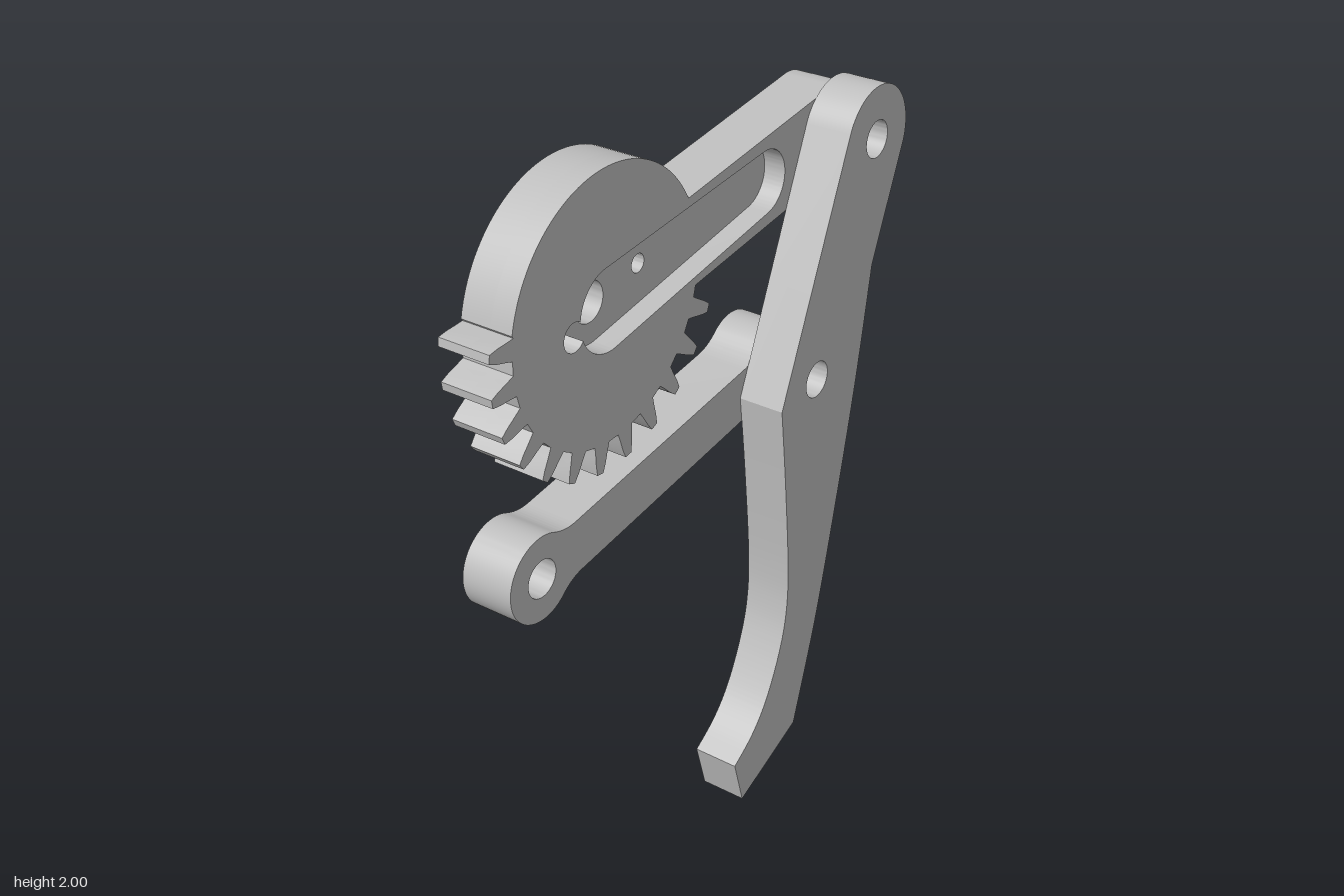
import * as THREE from 'three';
import { toCreasedNormals } from 'three/addons/utils/BufferGeometryUtils.js';

const BACK = -0.106, FLOOR = -0.023, MID = 0.037, FRONT = 0.165; // layer planes along x
const rad = THREE.MathUtils.degToRad;
const steel = new THREE.MeshStandardMaterial({ color: 0xbfbfbf });
steel.name = 'steel grey';

// Profiles are drawn as (-z, y) and extruded along x.
function plate(name, shape, x0, x1) {
  const geo = new THREE.ExtrudeGeometry(shape, { depth: x1 - x0, bevelEnabled: false, curveSegments: 24 });
  const mesh = new THREE.Mesh(toCreasedNormals(geo, 0.45), steel);
  mesh.name = name;
  mesh.rotation.y = Math.PI / 2;
  mesh.position.x = x0;
  return mesh;
}

function hole(c, r) {
  return new THREE.Path().absarc(c.x, c.y, r, 0, Math.PI * 2, true);
}

const hub = new THREE.Vector2(-0.335, 1.655);
const topPivot = new THREE.Vector2(0.607, 1.74);
const midPivot = new THREE.Vector2(0.335, 1.173);
const lowPivot = new THREE.Vector2(-0.638, 1.085);

// Point at distance d along the axis from a to b, offset sideways by s.
function along(a, b, d, s = 0) {
  const t = b.clone().sub(a).normalize();
  return new THREE.Vector2(a.x + t.x * d - t.y * s, a.y + t.y * d + t.x * s);
}

// Sector gear joined to the upper link arm
function gearOutline() {
  const R = 0.345, root = 0.34, w = 0.119;
  const phi = topPivot.clone().sub(hub).angle(), cut = Math.asin(w / R);
  const s = new THREE.Shape();
  s.absarc(hub.x, hub.y, R, phi + cut, rad(165), false);
  const tooth = [[-4.6, root], [-3.6, 0.362], [-2.6, 0.392], [-1.5, 0.416], [1.5, 0.416], [2.6, 0.392], [3.6, 0.362], [4.6, root]];
  for (let i = 0; i < 12; i++) {
    for (const [da, r] of tooth) {
      const a = rad(170.4 + 15 * i + da);
      s.lineTo(hub.x + r * Math.cos(a), hub.y + r * Math.sin(a));
    }
  }
  s.absarc(hub.x, hub.y, root, rad(341), phi - cut + Math.PI * 2, false);
  s.absarc(topPivot.x, topPivot.y, w, phi - Math.PI / 2, phi + Math.PI / 2, false);
  s.closePath();
  s.holes.push(hole(topPivot, 0.05));
  return s;
}

// Keyed slot sunk into the inner face of the gear arm
function pocket() {
  const phi = topPivot.clone().sub(hub).angle();
  const end = along(hub, topPivot, 0.633), key = along(hub, topPivot, -0.13);
  const p = new THREE.Path();
  p.absarc(hub.x, hub.y, 0.106, phi + rad(88), phi + rad(166.4), false);
  p.absarc(key.x, key.y, 0.037, phi + rad(43), phi + rad(317), false);
  p.absarc(hub.x, hub.y, 0.106, phi + rad(193.6), phi + rad(272), false);
  p.absarc(end.x, end.y, 0.085, phi + rad(-88), phi + rad(88), false);
  p.closePath();
  return p;
}

// Bar with a round eye at each end
function lowerLinkShape() {
  const r = 0.114, half = 0.072, a = rad(55);
  const phi = midPivot.clone().sub(lowPivot).angle();
  const s = new THREE.Shape();
  const ends = [[lowPivot, midPivot, phi], [midPivot, lowPivot, phi + Math.PI]];
  for (const [c, o, dir] of ends) {
    const start = along(c, o, 0.14, half), sc = along(c, o, 0.1, half);
    const stop = along(c, o, 0.14, -half), ec = along(c, o, 0.1, -half);
    if (c === lowPivot) s.moveTo(start.x, start.y);
    else s.lineTo(start.x, start.y);
    s.quadraticCurveTo(sc.x, sc.y, c.x + r * Math.cos(dir + a), c.y + r * Math.sin(dir + a));
    s.absarc(c.x, c.y, r, dir + a, dir + Math.PI * 2 - a, false);
    s.quadraticCurveTo(ec.x, ec.y, stop.x, stop.y);
  }
  s.closePath();
  s.holes.push(hole(lowPivot, 0.05), hole(midPivot, 0.05));
  return s;
}

// Long curved finger with a hooked tip
function fingerShape() {
  const pts = (list) => list.map(([x, y]) => new THREE.Vector2(x, y));
  const s = new THREE.Shape();
  s.absarc(topPivot.x, topPivot.y, 0.141, rad(-25.4), rad(154.5), false);
  s.lineTo(0.172, 1.157);
  s.splineThru(pts([[0.188, 0.918], [0.199, 0.652], [0.188, 0.504], [0.151, 0.387], [0.088, 0.271], [0.019, 0.196], [-0.066, 0.143]]));
  s.lineTo(-0.034, 0);
  s.lineTo(0.225, 0.093);
  s.splineThru(pts([[0.337, 0.398], [0.443, 0.759], [0.528, 1.082], [0.597, 1.39]]));
  s.closePath();
  s.holes.push(hole(topPivot, 0.05), hole(midPivot, 0.05));
  return s;
}

export function createModel() {
  const model = new THREE.Group();
  model.name = 'gripperFinger';
  const mechanism = new THREE.Group();
  mechanism.name = 'mechanism';
  mechanism.rotation.z = 0.031; // slight lean
  model.add(mechanism);

  const gearBack = gearOutline();
  gearBack.holes.push(hole(hub, 0.052), hole(new THREE.Vector2(-0.149, 1.672), 0.024));
  const gearFront = gearOutline();
  gearFront.holes.push(pocket());

  const gear = new THREE.Group();
  gear.name = 'gearArm';
  gear.add(plate('gearArmBack', gearBack, BACK, FLOOR), plate('gearArmFront', gearFront, FLOOR, MID));

  mechanism.add(gear, plate('lowerLink', lowerLinkShape(), BACK, MID), plate('finger', fingerShape(), MID, FRONT));
  return model;
}
